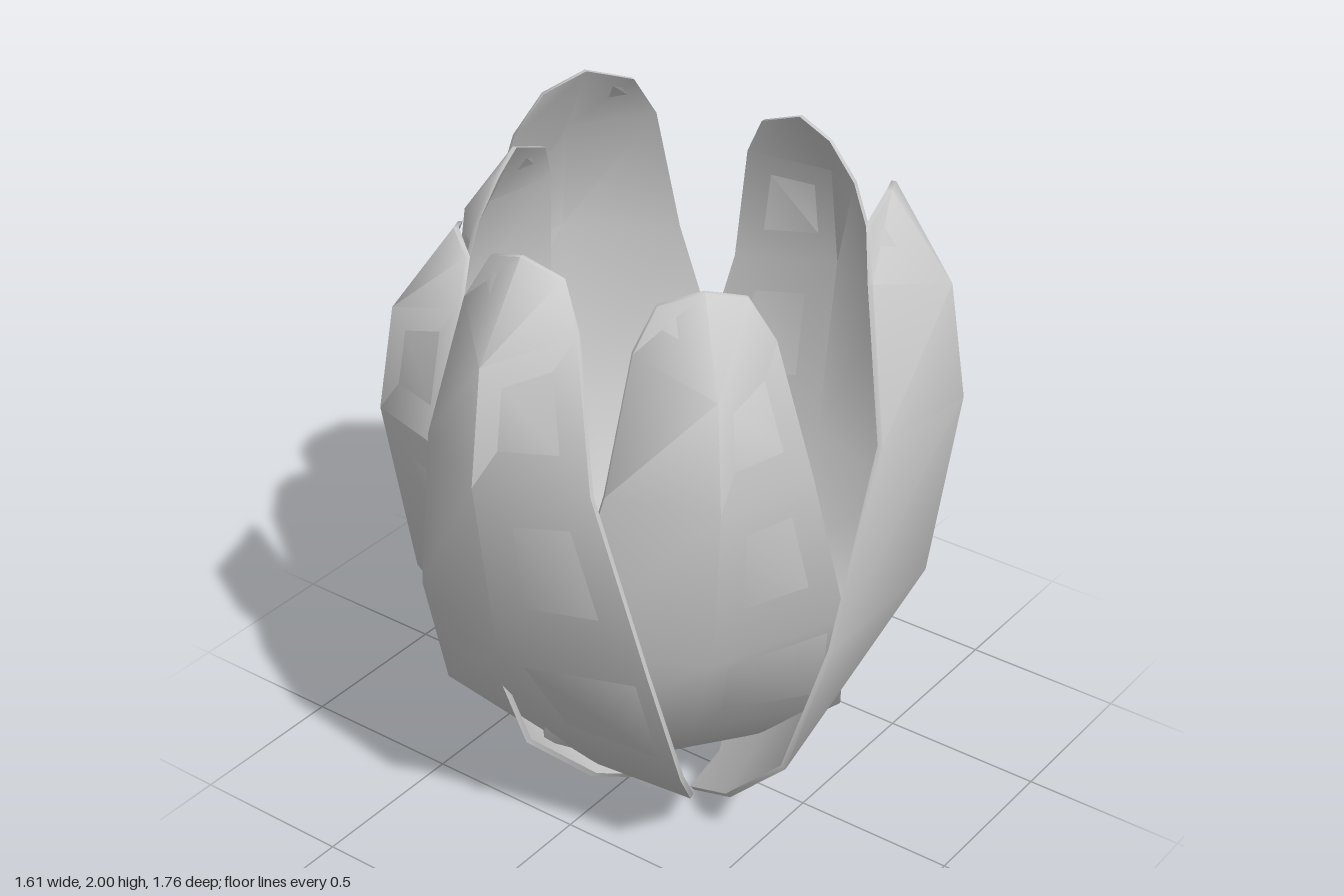
import * as THREE from 'three';
import { toCreasedNormals } from 'three/addons/utils/BufferGeometryUtils.js';

// Petal cross-sections: midrib height, midrib radius, edge height, edge radius, half width
const ROWS = [
  [0.0, 0.2, 0.01, 0.17, 0.18],
  [0.14, 0.36, 0.14, 0.33, 0.32],
  [0.38, 0.57, 0.38, 0.53, 0.43],
  [0.79, 0.8, 0.79, 0.65, 0.405],
  [1.37, 0.88, 1.37, 0.73, 0.28],
  [1.71, 0.83, 1.79, 0.66, 0.19],
  [1.96, 0.65, 1.92, 0.63, 0.12],
];
const THICK = 0.014;

// One folded petal facing +z: a thin closed shell lofted through the rows
function petalGeometry(height, inset, widen) {
  const s = height / 1.96;
  const pos = [];
  const index = [];
  for (const [ym, rm, ye, re, w] of ROWS) {
    const hw = w * widen;
    const mid = rm - inset;
    const edge = re - inset;
    pos.push(-hw, ye * s, edge, 0, ym * s, mid, hw, ye * s, edge);
    const lift = ym < 0.5 ? THICK * 0.7 : 0;
    pos.push(hw, ye * s + lift, edge - THICK, 0, ym * s + lift, mid - THICK, -hw, ye * s + lift, edge - THICK);
  }
  const n = 6;
  for (let i = 0; i < ROWS.length - 1; i++) {
    for (let j = 0; j < n; j++) {
      const a = i * n + j;
      const b = i * n + ((j + 1) % n);
      index.push(a, b, b + n, a, b + n, a + n);
    }
  }
  // End caps
  const t = (ROWS.length - 1) * n;
  for (const [a, b, c] of [[0, 1, 4], [0, 4, 5], [1, 2, 3], [1, 3, 4]]) {
    index.push(t + a, t + b, t + c, a, c, b);
  }
  const g = new THREE.BufferGeometry();
  g.setAttribute('position', new THREE.Float32BufferAttribute(pos, 3));
  g.setIndex(index);
  return toCreasedNormals(g, Math.PI / 3);
}

export function createModel() {
  const group = new THREE.Group();
  group.name = 'tulipBloom';
  const material = new THREE.MeshStandardMaterial({ color: 0xcccccc, side: THREE.DoubleSide });

  // name, turn from the front in degrees, height, inward shift, width factor
  const petals = [
    ['outerPetalFront', 0, 1.96, 0, 1],
    ['outerPetalLeft', 109, 1.99, 0.025, 1.18],
    ['outerPetalBackRight', -121, 2.0, 0, 1.18],
    ['innerPetalBack', 180, 1.89, 0, 1],
    ['innerPetalRight', -86, 1.9, 0.12, 0.95],
    ['innerPetalFrontRight', -45, 1.83, 0.05, 0.93],
    ['innerPetalFrontLeft', 47.5, 1.83, 0.165, 1.03],
  ];
  for (const [name, turn, height, inset, widen] of petals) {
    const petal = new THREE.Mesh(petalGeometry(height, inset, widen), material);
    petal.name = name;
    petal.rotation.y = THREE.MathUtils.degToRad(turn);
    group.add(petal);
  }
  return group;
}
